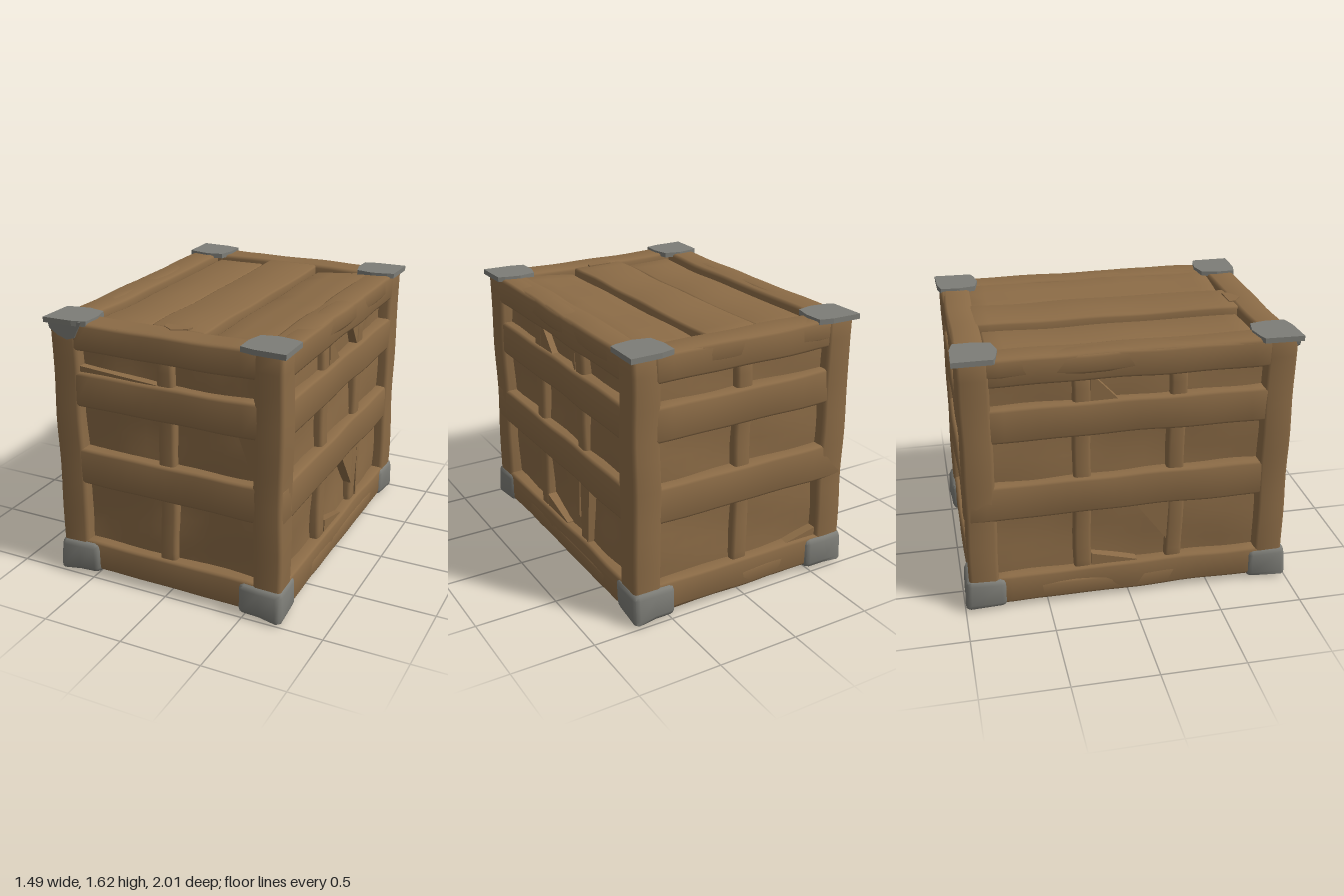
import * as THREE from 'three';
import { toCreasedNormals } from 'three/addons/utils/BufferGeometryUtils.js';

const wood = new THREE.MeshStandardMaterial({ name: 'brown wood', color: 0x8b6b46 });
const metal = new THREE.MeshStandardMaterial({ name: 'grey metal', color: 0x7d7d77 });

// Smooth, repeatable waviness for hand-worn surfaces
const wave = (a, b, c) => Math.sin(a * 9 + b * 3.1 + c * 1.7) * 0.6 + Math.sin(b * 13 - a * 5.3 + c * 4.1) * 0.4;

// Worn box between two corners: rounded edges plus a gentle wobble
function wornBox(name, min, max, material = wood, round = 0.02, wobble = 0.005) {
  const size = max.map((m, i) => m - min[i]);
  const mid = max.map((m, i) => (m + min[i]) / 2);
  const segs = size.map(s => Math.max(3, Math.ceil(s / 0.09)));
  const r = Math.min(round, ...size.map(s => s * 0.4));
  const geo = new THREE.BoxGeometry(...size, ...segs);
  const pos = geo.attributes.position;
  for (let v = 0; v < pos.count; v++) {
    const core = [], out = [];
    for (let i = 0; i < 3; i++) {
      const h = size[i] / 2, u = pos.getComponent(v, i);
      const edge = Math.abs(u) > h - 1e-5;
      core[i] = edge ? Math.sign(u) * (h - r) : u * (h - r) / (h - size[i] / segs[i]);
      out[i] = edge ? Math.sign(u) : 0;
    }
    const len = Math.hypot(...out);
    const p = core.map((c, i) => c + out[i] / len * r + mid[i]);
    pos.setXYZ(v,
      p[0] + wobble * wave(p[1], p[2], p[0]),
      p[1] + wobble * wave(p[2], p[0], p[1]),
      p[2] + wobble * wave(p[0], p[1], p[2]));
  }
  const mesh = new THREE.Mesh(toCreasedNormals(geo, 0.9), material);
  mesh.name = name;
  return mesh;
}

// Flat piece cut from a polygon, from depth z0 to z1
function cutPiece(name, points, z0, z1, material = wood) {
  const shape = new THREE.Shape(points.map(p => new THREE.Vector2(...p)));
  const geo = new THREE.ExtrudeGeometry(shape, { depth: z1 - z0, bevelEnabled: false });
  const mesh = new THREE.Mesh(geo.translate(0, 0, z0), material);
  mesh.name = name;
  return mesh;
}

// One side of the crate, facing +z before it is turned
function crateSide(name, halfWidth, depth, slats, wedges, turn) {
  const side = new THREE.Group();
  side.name = name;
  const rails = [[0.035, 0.22], [0.605, 0.83], [1.1, 1.31], [1.44, 1.605]];
  rails.forEach(([y0, y1], i) => {
    const long = i === 1 ? 0.165 : 0.04;
    side.add(wornBox('rail', [-halfWidth - long, y0, depth - 0.13], [halfWidth + long, y1, depth], wood, 0.018));
  });
  for (const x of slats)
    side.add(wornBox('slat', [x - 0.052, 0.15, depth - 0.12], [x + 0.052, 1.5, depth - 0.022], wood, 0.02, 0.006));
  for (const points of wedges)
    side.add(cutPiece('brokenBoard', points, depth - 0.1, depth - 0.022));
  side.rotation.y = turn;
  return side;
}

export function createModel() {
  const crate = new THREE.Group();
  crate.name = 'crate';

  // Wavy inner boards seen through the openings
  crate.add(wornBox('innerBoards', [-0.65, 0.09, -0.895], [0.65, 1.54, 0.895], wood, 0.02, 0.014));

  // Corner posts
  for (const sx of [-1, 1]) for (const sz of [-1, 1]) {
    const x = [sx * 0.55, sx * 0.722].sort((a, b) => a - b);
    const z = [sz * 0.79, sz * 0.968].sort((a, b) => a - b);
    crate.add(wornBox('cornerPost', [x[0], 0.03, z[0]], [x[1], 1.61, z[1]], wood, 0.022));
  }

  // Railed sides
  const endWedges = [
    [[0.45, 1.11], [0.56, 0.82], [0.56, 1.11]],
    [[-0.55, 1.3], [-0.05, 1.3], [-0.05, 1.31], [-0.55, 1.345]],
    [[0.525, 1.45], [0.55, 1.3], [0.56, 1.45]],
  ];
  const longWedges = [
    [[0.04, 0.61], [0.23, 0.35], [0.24, 0.61]],
    [[-0.23, 0.21], [0.05, 0.21], [0.05, 0.225], [-0.23, 0.3]],
    [[-0.23, 1.3], [-0.06, 1.3], [-0.2, 1.45], [-0.23, 1.45]],
    [[0.13, 1.45], [0.23, 1.3], [0.24, 1.45]],
    [[0.32, 0.61], [0.32, 0.21], [0.335, 0.21], [0.37, 0.61]],
  ];
  const backWedges = [[[0.3, 0.21], [0.56, 0.21], [0.56, 0.27]]];
  crate.add(crateSide('frontSide', 0.55, 0.965, [0], endWedges, 0));
  crate.add(crateSide('backSide', 0.55, 0.965, [0], backWedges, Math.PI));
  crate.add(crateSide('longSideA', 0.79, 0.718, [-0.28, 0.28], longWedges, Math.PI / 2));
  crate.add(crateSide('longSideB', 0.79, 0.718, [-0.28, 0.28], longWedges.slice(0, 3), -Math.PI / 2));

  // Lid and base: end beams, edge beams and a raised middle plank
  for (const [label, y0, y1] of [['lid', 1.49, 1.607], ['base', 0.033, 0.15]]) {
    for (const s of [-1, 1]) {
      const z = [s * 0.79, s * 0.962].sort((a, b) => a - b);
      const x = [s * 0.545, s * 0.718].sort((a, b) => a - b);
      crate.add(wornBox(label + 'EndBeam', [-0.6, y0, z[0]], [0.6, y1, z[1]]));
      crate.add(wornBox(label + 'EdgeBeam', [x[0], y0, -0.85], [x[1], y1, 0.85]));
    }
    crate.add(wornBox(label + 'MiddlePlank', [-0.155, y0, -0.83], [0.185, y1 - 0.003, 0.8], wood, 0.015));
  }

  // Sunken lid plank on one half, tilted plank on the other
  crate.add(wornBox('lidSunkenPlank', [-0.52, 1.48, -0.79], [-0.195, 1.575, 0.77], wood, 0.015));
  const tilted = wornBox('lidTiltedPlank', [-0.19, -0.08, -0.8], [0.19, 0, 0.78], wood, 0.012, 0.004);
  tilted.position.set(0.385, 1.583, 0);
  tilted.rotation.z = 0.1;
  crate.add(tilted);
  // Sunken base planks
  for (const [x0, x1] of [[-0.53, -0.19], [0.22, 0.53]])
    crate.add(wornBox('baseSunkenPlank', [x0, 0.07, -0.78], [x1, 0.15, 0.78], wood, 0.015));
  // Small chip in the lid's front beam
  const chip = cutPiece('lidChip',
    [[-0.07, -0.76], [-0.07, -0.8], [0, -0.85], [0.08, -0.8], [0.09, -0.76]], 1.58, 1.611);
  chip.rotation.x = -Math.PI / 2;
  crate.add(chip);

  // Metal corner caps: deep shoes below, thin plates above
  for (const sx of [-1, 1]) for (const sz of [-1, 1]) {
    const x = [sx * 0.465, sx * 0.736].sort((a, b) => a - b);
    const z = [sz * 0.745, sz * 0.99].sort((a, b) => a - b);
    const shoe = wornBox('bottomCornerCap', [x[0], 0.014, z[0]], [x[1], 0.21, z[1]], metal, 0.035, 0.006);
    const pos = shoe.geometry.attributes.position;
    for (let v = 0; v < pos.count; v++) {
      // lower rim flares out and sags toward the outer corner
      const low = Math.max(0, 0.08 - pos.getY(v)) / 0.08;
      const outer = Math.abs(pos.getX(v)) > 0.69 && Math.abs(pos.getZ(v)) > 0.93 ? 1 : 0;
      pos.setX(v, pos.getX(v) + sx * low * outer * 0.016);
      pos.setZ(v, pos.getZ(v) + sz * low * outer * 0.018);
      pos.setY(v, pos.getY(v) - low * outer * 0.01);
    }
    shoe.geometry = toCreasedNormals(shoe.geometry, 0.9);
    crate.add(shoe);

    const outline = [[0.745, 0.99], [0.56, 0.985], [0.475, 0.965], [0.47, 0.85], [0.495, 0.75],
      [0.6, 0.727], [0.7, 0.745], [0.74, 0.76]].map(([a, b]) => [a * sx, -b * sz]);
    const plate = cutPiece('topCornerCap', outline, 1.592, 1.623, metal);
    plate.rotation.x = -Math.PI / 2;
    crate.add(plate);
  }
  // Bent flap of one top cap over the front
  crate.add(cutPiece('capFlap',
    [[-0.725, 1.615], [-0.715, 1.56], [-0.66, 1.525], [-0.6, 1.505], [-0.55, 1.52], [-0.525, 1.57], [-0.5, 1.615]],
    0.95, 0.978, metal));

  return crate;
}
